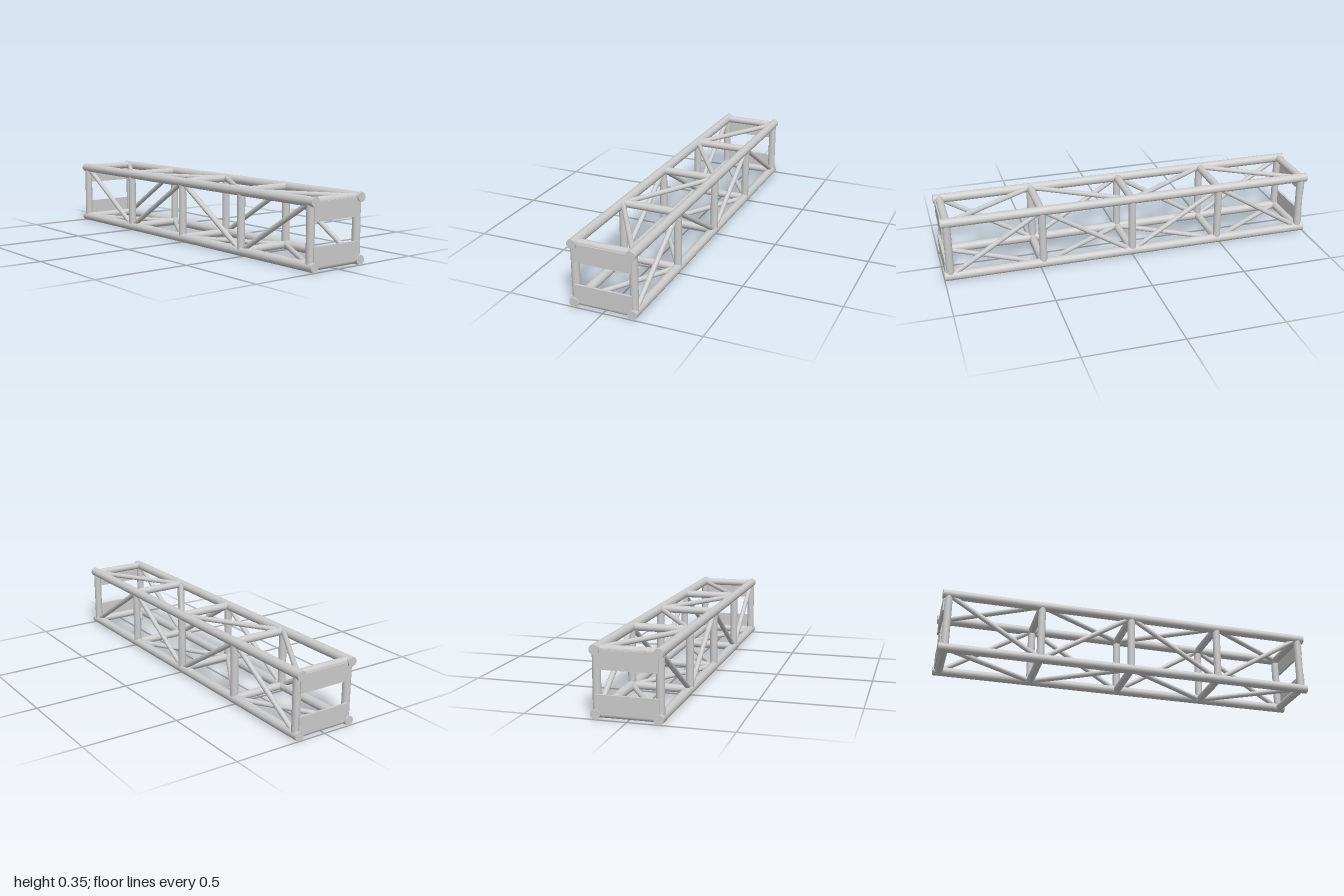
import * as THREE from 'three';

export function createModel() {
  const model = new THREE.Group();
  const material = new THREE.MeshStandardMaterial({ color: 0xcccccc });
  const X = 0.15, LOW = 0.024, HIGH = 0.324, STEP = 0.484;

  // Round bar between two points
  function bar(name, radius, a, b) {
    const from = new THREE.Vector3(...a), to = new THREE.Vector3(...b);
    const axis = to.clone().sub(from);
    const mesh = new THREE.Mesh(new THREE.CylinderGeometry(radius, radius, axis.length(), 24), material);
    mesh.name = name;
    mesh.position.copy(from).add(to).multiplyScalar(0.5);
    mesh.quaternion.setFromUnitVectors(new THREE.Vector3(0, 1, 0), axis.normalize());
    model.add(mesh);
  }

  // Four long main chords
  for (const x of [-X, X])
    for (const y of [LOW, HIGH]) bar('mainChord', 0.024, [x, y, -1], [x, y, 1]);

  // Square frames of posts and rungs
  for (let i = -2; i <= 2; i++) {
    const z = i * STEP;
    for (const x of [-X, X]) bar('post', 0.02, [x, LOW, z], [x, HIGH, z]);
    for (const y of [LOW, HIGH]) bar('rung', 0.02, [-X, y, z], [X, y, z]);
  }

  // Zigzag diagonals, mirrored on opposite faces
  for (let bay = 0; bay < 4; bay++) {
    const z0 = (2 - bay) * STEP, z1 = z0 - STEP;
    const s = bay % 2 ? -1 : 1;
    const mid = (LOW + HIGH) / 2, half = (HIGH - LOW) / 2;
    for (const side of [-1, 1]) {
      const dy = half * s * side, dx = X * s * side;
      bar('sideDiagonal', 0.013, [side * X, mid - dy, z0], [side * X, mid + dy, z1]);
      bar(side > 0 ? 'topDiagonal' : 'bottomDiagonal', 0.013,
        [dx, mid + side * half, z0], [-dx, mid + side * half, z1]);
    }
  }

  // Flat plates across both ends
  for (const end of [-1, 1])
    for (const y of [0.071, 0.279]) {
      const plate = new THREE.Mesh(new THREE.BoxGeometry(2 * X, 0.092, 0.012), material);
      plate.name = 'endPlate';
      plate.position.set(0, y, end * 0.988);
      model.add(plate);
    }
  return model;
}
